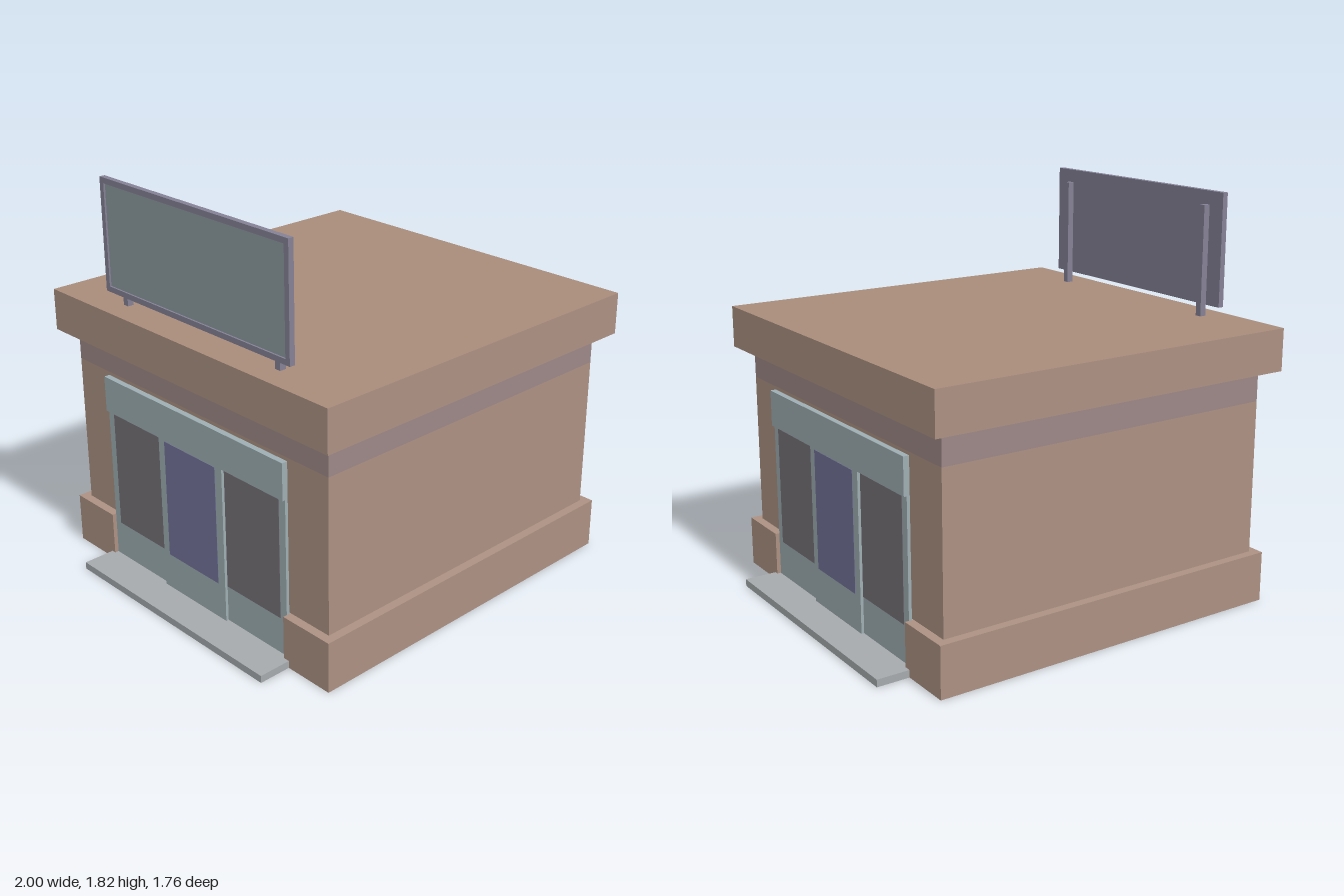
import * as THREE from 'three';

const mat = (color) => new THREE.MeshStandardMaterial({ color, flatShading: true, side: THREE.DoubleSide });
const brick = mat(0xac9182), band = mat(0x9c8886), roofTan = mat(0xa88c7a), frame = mat(0x9eaeb3),
  darkGlass = mat(0x777278), blueGlass = mat(0x73749a), stone = mat(0xa6aaad),
  signBack = mat(0x858196), signFace = mat(0x8b999e);

function add(parent, name, geometry, material) {
  const mesh = new THREE.Mesh(geometry, material);
  mesh.name = name;
  parent.add(mesh);
  return mesh;
}

// Box given by its limits on each axis
function box(parent, name, material, [x0, x1], [y0, y1], [z0, z1]) {
  const mesh = add(parent, name, new THREE.BoxGeometry(x1 - x0, y1 - y0, z1 - z0), material);
  mesh.position.set((x0 + x1) / 2, (y0 + y1) / 2, (z0 + z1) / 2);
  return mesh;
}

// Square hollow shell through [half width, height] levels
function squareShell(parent, name, material, levels) {
  const points = levels.map(([h, y]) => new THREE.Vector2(h * Math.SQRT2, y));
  return add(parent, name, new THREE.LatheGeometry(points, 4, Math.PI / 4).toNonIndexed(), material);
}

// Half of the plinth: a U-shaped skirt with a ledge, open at the doorways
function plinthHalf() {
  const group = new THREE.Group();
  group.name = 'plinth';
  const o = 0.85, i = 0.81, end = 0.585, height = 0.23;
  const path = [[i, end], [o, end], [o, o], [-o, o], [-o, end], [-i, end]];
  for (let k = 0; k < path.length - 1; k++) {
    const [x0, z0] = path[k], [x1, z1] = path[k + 1];
    const side = add(group, 'plinthSide', new THREE.PlaneGeometry(Math.hypot(x1 - x0, z1 - z0), height), brick);
    side.position.set((x0 + x1) / 2, height / 2, (z0 + z1) / 2);
    side.rotation.y = Math.atan2(x1 - x0, z1 - z0) + Math.PI / 2;
  }
  const outline = [...path, [-i, i], [i, i]].map(([x, z]) => new THREE.Vector2(x, -z));
  const ledge = add(group, 'plinthLedge', new THREE.ShapeGeometry(new THREE.Shape(outline)), brick);
  ledge.rotation.x = -Math.PI / 2;
  ledge.position.y = height;
  return group;
}

// Glazed entrance on the +x side with its doorstep
function shopfront() {
  const group = new THREE.Group();
  group.name = 'shopfront';
  box(group, 'doorstep', stone, [0.825, 1], [0, 0.033], [-0.615, 0.605]);
  box(group, 'header', frame, [0.818, 0.845], [0.755, 0.92], [-0.587, 0.583]);
  box(group, 'doorFrame', frame, [0.818, 0.845], [0.01, 0.755], [-0.213, 0.205]);
  box(group, 'doorGlass', blueGlass, [0.84, 0.8465], [0.2, 0.75], [-0.17, 0.165]);
  for (const [z0, z1, g0, g1] of [[0.205, 0.583, 0.207, 0.545], [-0.587, -0.213, -0.55, -0.215]]) {
    box(group, 'windowFrame', frame, [0.818, 0.832], [0.01, 0.755], [z0, z1]);
    box(group, 'windowGlass', darkGlass, [0.828, 0.8335], [0.2, 0.753], [g0, g1]);
  }
  return group;
}

// Rooftop board with a raised rim on its outer face, held by two posts
function roofSign() {
  const group = new THREE.Group();
  group.name = 'roofSign';
  const z0 = -0.585, z1 = 0.59, y0 = 1.31, y1 = 1.815, rim = 0.025;
  box(group, 'signBoard', signBack, [-0.79, -0.774], [y0, y1], [z0, z1]);
  box(group, 'signFace', signFace, [-0.792, -0.785], [y0 + rim, y1 - rim], [z0 + rim, z1 - rim]);
  for (const [a, b] of [[y0, y0 + rim], [y1 - rim, y1]])
    box(group, 'signRim', signBack, [-0.8, -0.79], [a, b], [z0, z1]);
  for (const [a, b] of [[z0, z0 + rim], [z1 - rim, z1]])
    box(group, 'signRim', signBack, [-0.8, -0.79], [y0 + rim, y1 - rim], [a, b]);
  for (const z of [-0.487, 0.49])
    box(group, 'signPost', signBack, [-0.774, -0.744], [1.26, 1.755], [z - 0.015, z + 0.015]);
  return group;
}

export function createModel() {
  const model = new THREE.Group();
  model.name = 'shop';

  // Walls and roof form one hollow shell, open underneath
  squareShell(model, 'walls', brick, [[0.81, 0.23], [0.81, 0.93]]);
  squareShell(model, 'wallBand', band, [[0.81, 0.93], [0.81, 1.07]]);
  squareShell(model, 'roofEdge', brick, [[0.81, 1.07], [0.88, 1.07], [0.88, 1.26]]);
  const roof = add(model, 'roofTop', new THREE.PlaneGeometry(1.76, 1.76), roofTan);
  roof.rotation.x = -Math.PI / 2;
  roof.position.y = 1.26;

  // Both sides repeat by a half turn
  for (const turn of [0, Math.PI]) {
    for (const part of [plinthHalf(), shopfront()]) {
      part.rotation.y = turn;
      model.add(part);
    }
  }
  model.add(roofSign());
  return model;
}
